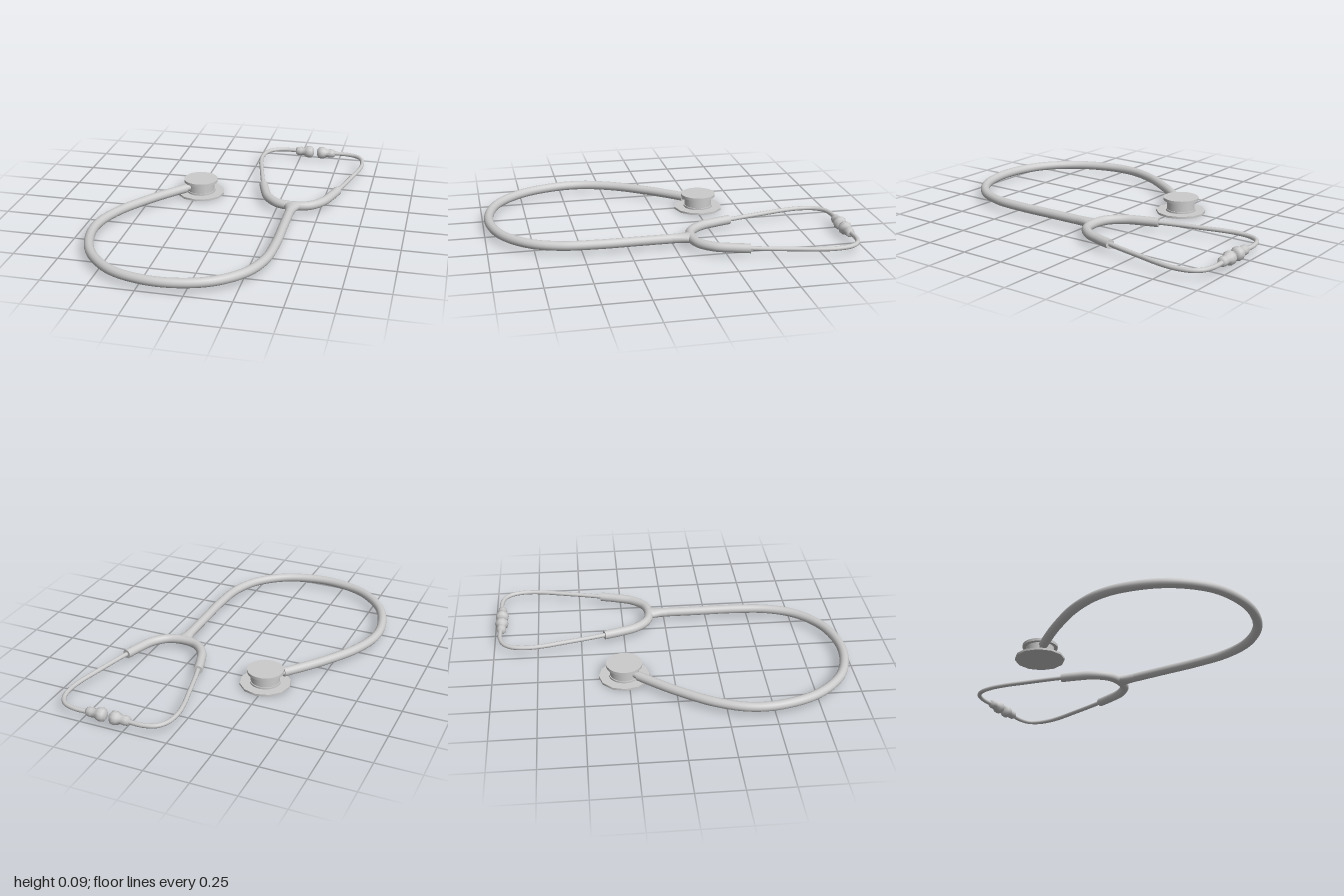
import * as THREE from 'three';

const Y = 0.048;      // height of the tube centre line
const AXIS = 0.35;    // symmetry line of the headset
const material = new THREE.MeshStandardMaterial({ color: 0xcccccc, side: THREE.DoubleSide });

function add(parent, name, geometry, x = 0, y = 0, z = 0) {
  const mesh = new THREE.Mesh(geometry, material);
  mesh.name = name;
  mesh.position.set(x, y, z);
  parent.add(mesh);
  return mesh;
}

// Round tube through flat [x, z] points, with closed ends
function addTube(parent, name, points, radius, segments, sides) {
  const curve = new THREE.CatmullRomCurve3(points.map(([x, z]) => new THREE.Vector3(x, 0, z)), false, 'centripetal');
  const group = new THREE.Group();
  group.name = name;
  group.position.y = Y;
  add(group, name + 'Wall', new THREE.TubeGeometry(curve, segments, radius, sides));
  for (const t of [0, 1]) {
    const p = curve.getPointAt(t);
    const out = curve.getTangentAt(t).multiplyScalar(t ? 1 : -1);
    const cap = add(group, name + 'End', new THREE.CircleGeometry(radius, sides), p.x, p.y, p.z);
    cap.quaternion.setFromUnitVectors(new THREE.Vector3(0, 0, 1), out);
  }
  parent.add(group);
}

export function createModel() {
  const model = new THREE.Group();

  // Long hose looping from the chest piece to the fork
  addTube(model, 'hose', [
    [-0.31, -0.198], [-0.385, -0.11], [-0.47, 0], [-0.59, 0.19], [-0.65, 0.37], [-0.645, 0.53],
    [-0.57, 0.735], [-0.415, 0.895], [-0.235, 0.96], [-0.06, 0.963], [0.12, 0.905],
    [0.26, 0.78], [0.33, 0.62], [0.35, 0.42], [0.35, 0.2], [0.35, -0.09],
  ], 0.026, 90, 16);

  // Flared joint between hose and fork, widened sideways only
  const flare = new THREE.CylinderGeometry(0.026, 0.05, 0.1, 20, 4, true);
  const pos = flare.attributes.position;
  for (let i = 0; i < pos.count; i++) {
    const t = 0.5 - pos.getY(i) / 0.1;
    const x = pos.getX(i) / (0.026 + 0.024 * t);
    const z = pos.getZ(i) / (0.026 + 0.024 * t);
    pos.setX(i, x * (0.026 + 0.024 * t * t));
    pos.setZ(i, z * 0.026);
  }
  flare.computeVertexNormals();
  add(model, 'forkJoint', flare, AXIS, Y, -0.035).rotation.x = Math.PI / 2;

  // Flexible fork, mirrored about the headset axis
  const half = [[-0.222, -0.365], [-0.195, -0.275], [-0.16, -0.185], [-0.1, -0.118], [-0.04, -0.095]];
  const mirrored = half.map(([x, z]) => [-x, z]).reverse();
  addTube(model, 'fork', [...half, ...mirrored].map(([x, z]) => [AXIS + x, z]), 0.026, 48, 16);

  // Metal ear tubes and ear tips
  const tipProfile = [[0, 0], [0.018, 0], [0.026, 0.012], [0.028, 0.035], [0.023, 0.05],
    [0.034, 0.068], [0.039, 0.085], [0.034, 0.104], [0.02, 0.114], [0, 0.115]]
    .map(([r, h]) => new THREE.Vector2(r, h));
  for (const [side, s] of [['left', 1], ['right', -1]]) {
    const path = [[0.218, -0.35], [0.245, -0.45], [0.277, -0.585], [0.308, -0.72], [0.317, -0.81],
      [0.303, -0.895], [0.265, -0.945], [0.2, -0.967], [0.11, -0.967]];
    addTube(model, side + 'EarTube', path.map(([x, z]) => [AXIS + s * x, z]), 0.0125, 48, 12);
    const tip = add(model, side + 'EarTip', new THREE.LatheGeometry(tipProfile, 10), AXIS + s * 0.126, Y, -0.962);
    tip.rotation.z = s * Math.PI / 2;
  }

  // Chest piece: diaphragm, drum and bell cap
  const chest = new THREE.Group();
  chest.name = 'chestPiece';
  chest.position.set(-0.235, 0, -0.273);
  model.add(chest);
  const disc = (name, r, y0, y1, sides) =>
    add(chest, name, new THREE.CylinderGeometry(r, r, y1 - y0, sides), 0, (y0 + y1) / 2, 0);
  disc('diaphragm', 0.141, 0, 0.012, 12);
  disc('lowerCollar', 0.085, 0.012, 0.022, 32);
  disc('drum', 0.08, 0.022, 0.074, 32);
  disc('bellCap', 0.1, 0.074, 0.09, 32);

  // Stem joining the drum to the hose
  const stem = add(chest, 'stem', new THREE.CylinderGeometry(0.018, 0.018, 0.08, 12), -0.062, Y, 0.06);
  stem.quaternion.setFromUnitVectors(new THREE.Vector3(0, 1, 0), new THREE.Vector3(-0.71, 0, 0.71).normalize());

  return model;
}
